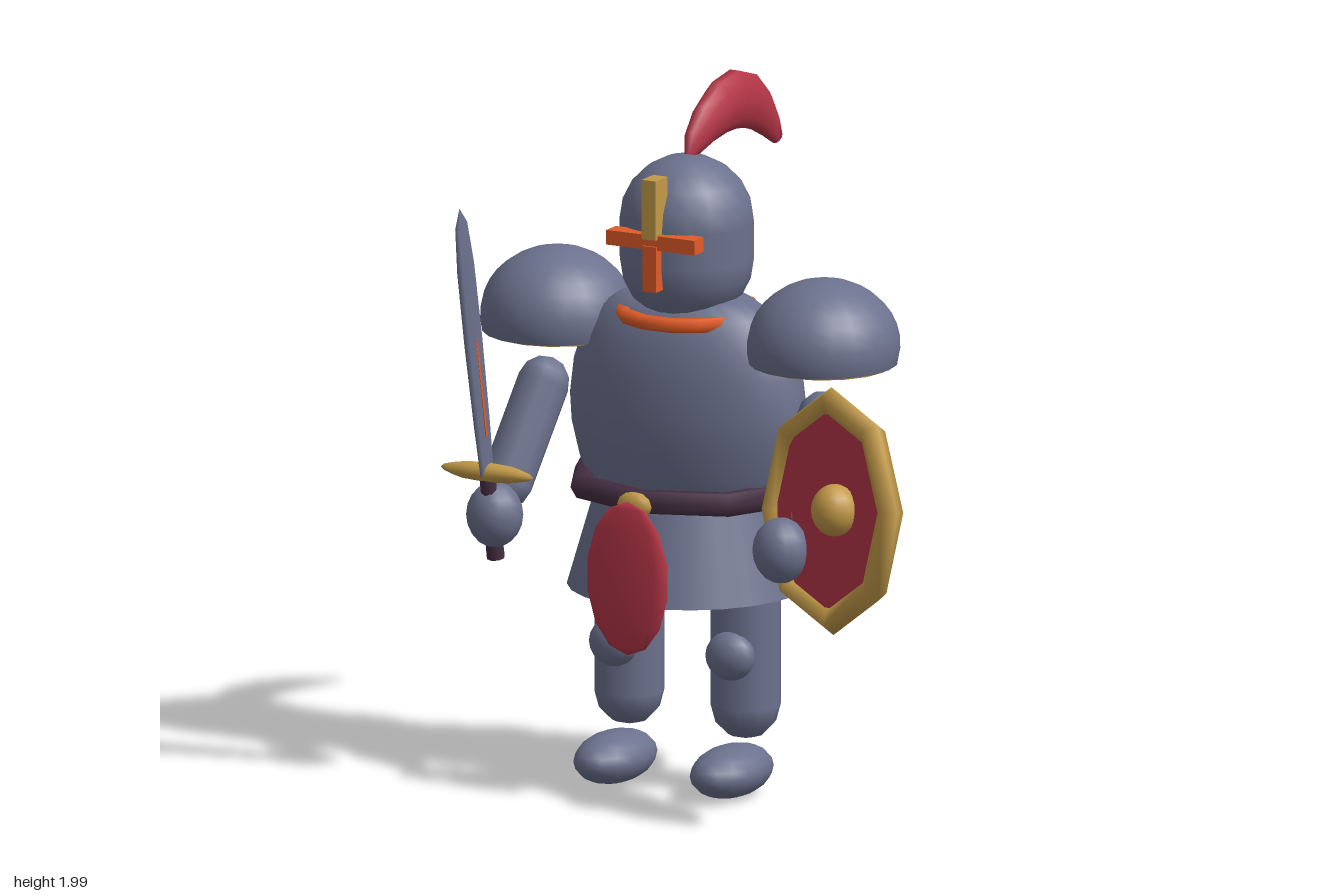
import * as THREE from 'three';

const mat = (name, color) => {
  const m = new THREE.MeshStandardMaterial({ color });
  m.name = name;
  return m;
};

export function createModel() {
  const steel = mat('steel', 0x6c728e);
  const steelOpen = mat('steel skirt', 0x6c728e);
  steelOpen.side = THREE.DoubleSide;
  const gold = mat('gold', 0xc39a48);
  const red = mat('red', 0xb63647);
  const orange = mat('orange', 0xe25c28);
  const leather = mat('dark leather', 0x462f44);

  const knight = new THREE.Group();
  knight.name = 'knight';
  const CX = -0.15; // body axis

  const add = (name, geo, material, x = 0, y = 0, z = 0, parent = knight) => {
    const m = new THREE.Mesh(geo, material);
    m.name = name;
    m.position.set(x, y, z);
    parent.add(m);
    return m;
  };
  const ellipsoid = (rx, ry, rz, w = 16, h = 12) =>
    new THREE.SphereGeometry(1, w, h).scale(rx, ry, rz);
  const lathe = (pts, seg) =>
    new THREE.LatheGeometry(pts.map(([r, y]) => new THREE.Vector2(r, y)), seg);
  const limb = (name, a, b, r) => {
    const p = new THREE.Vector3(...a), q = new THREE.Vector3(...b);
    const d = q.clone().sub(p);
    const m = add(name, new THREE.CapsuleGeometry(r, d.length(), 3, 10), steel);
    m.position.copy(p).add(q).multiplyScalar(0.5);
    m.quaternion.setFromUnitVectors(new THREE.Vector3(0, 1, 0), d.normalize());
    return m;
  };

  // Torso, skirt and belt
  const torso = lathe([[0, 0.72], [0.2, 0.76], [0.29, 0.83], [0.33, 0.92], [0.355, 1.02], [0.36, 1.1],
    [0.348, 1.2], [0.318, 1.29], [0.262, 1.365], [0.19, 1.41], [0, 1.43]], 24);
  add('torso', torso.scale(1, 1, 0.57), steel, CX);
  add('skirt', new THREE.CylinderGeometry(0.25, 0.34, 0.31, 24, 1, true), steelOpen, CX, 0.735, 0);
  const belt = new THREE.TorusGeometry(0.325, 0.036, 6, 8).rotateX(Math.PI / 2).scale(1, 1, 0.86);
  add('belt', belt, leather, CX, 0.87, 0);
  add('buckle', ellipsoid(0.055, 0.04, 0.025, 10, 6), gold, CX, 0.865, 0.315);
  add('tabard', ellipsoid(0.13, 0.22, 0.02, 8, 7), red, CX, 0.665, 0.355);

  // Helmet with collar and cross-shaped visor
  add('helmet', new THREE.CapsuleGeometry(0.19, 0.1, 5, 18), steel, CX, 1.57, 0.01);
  add('collar', new THREE.TorusGeometry(0.188, 0.022, 6, 14).rotateX(Math.PI / 2), orange, CX, 1.36, 0);
  add('visorSlit', new THREE.BoxGeometry(0.28, 0.042, 0.055), orange, CX, 1.6, 0.195);
  add('visorUpperBar', new THREE.BoxGeometry(0.045, 0.17, 0.068), gold, CX, 1.695, 0.198);
  add('visorLowerBar', new THREE.BoxGeometry(0.043, 0.13, 0.065), orange, CX, 1.525, 0.197);

  // Plume: oval cross-sections [z, y, half width, half thickness] along an arc
  const arc = [[0.0, 1.795, 0.012, 0.012], [-0.035, 1.835, 0.028, 0.044], [-0.1, 1.875, 0.04, 0.063],
    [-0.18, 1.905, 0.046, 0.08], [-0.26, 1.912, 0.047, 0.086], [-0.345, 1.89, 0.043, 0.08],
    [-0.42, 1.845, 0.035, 0.062], [-0.475, 1.795, 0.025, 0.042], [-0.515, 1.75, 0.015, 0.022]];
  const N = 10, pos = [], idx = [];
  arc.forEach(([z, y, w, h], i) => {
    const a = arc[Math.max(i - 1, 0)], b = arc[Math.min(i + 1, arc.length - 1)];
    const t = new THREE.Vector2(b[0] - a[0], b[1] - a[1]).normalize();
    for (let j = 0; j < N; j++) {
      const f = (j / N) * Math.PI * 2, s = Math.sin(f) * h;
      pos.push(Math.cos(f) * w, y - t.x * s, z + t.y * s);
      if (i) {
        const k = (j + 1) % N, p = (i - 1) * N, q = i * N;
        idx.push(p + j, p + k, q + j, p + k, q + k, q + j);
      }
    }
  });
  for (let j = 1; j < N - 1; j++) {
    const e = (arc.length - 1) * N;
    idx.push(0, j + 1, j, e, e + j, e + j + 1);
  }
  const plume = new THREE.BufferGeometry();
  plume.setAttribute('position', new THREE.Float32BufferAttribute(pos, 3));
  plume.setIndex(idx);
  plume.computeVertexNormals();
  add('plume', plume, red, CX).material.side = THREE.DoubleSide;

  // Paired parts
  for (const [side, s] of [['right', -1], ['left', 1]]) {
    const x = (d) => CX + s * d;
    const dome = new THREE.SphereGeometry(1, 20, 10, 0, Math.PI * 2, 0, Math.PI * 0.58);
    add(side + 'Pauldron', dome.scale(0.214, 0.19, 0.222), steel, x(0.424), 1.305, -0.01);
    add(side + 'PauldronLining', new THREE.CylinderGeometry(0.2, 0.192, 0.026, 16), gold, x(0.424), 1.263, -0.01);
    limb(side + 'Arm', [x(0.445), 1.11, 0.03], [x(0.485), 0.85, 0.17], 0.075);
    add(side + 'Hand', ellipsoid(0.08, 0.093, 0.08, 14, 10), steel, x(0.455), 0.785, 0.295);
    limb(side + 'Leg', [x(0.185), 0.255, 0.005], [x(0.185), 0.72, 0.005], 0.099);
    add(side + 'Knee', ellipsoid(0.074, 0.07, 0.055, 14, 10), steel, x(0.185), 0.41, 0.095);
    add(side + 'Foot', ellipsoid(0.098, 0.073, 0.167, 16, 10), steel, x(0.185), 0.08, 0.087);
  }

  // Sword, leaning forward
  const sword = new THREE.Group();
  sword.name = 'sword';
  sword.position.set(-0.605, 0.915, 0.34);
  sword.rotation.x = 0.2;
  knight.add(sword);
  const blade = lathe([[0.038, 0], [0.045, 0.15], [0.051, 0.4], [0.049, 0.62], [0.035, 0.75], [0, 0.805]], 8);
  add('blade', blade.scale(0.25, 1, 1), steel, 0, 0, 0, sword);
  add('fuller', new THREE.BoxGeometry(0.025, 0.3, 0.01), orange, 0, 0.26, 0, sword);
  add('guard', ellipsoid(0.147, 0.027, 0.03, 8, 8), gold, 0, 0, 0, sword);
  add('grip', new THREE.CylinderGeometry(0.023, 0.026, 0.26, 8), leather, 0, -0.13, 0, sword);

  // Round shield, turned and tipped back
  const shield = new THREE.Group();
  shield.name = 'shield';
  shield.position.set(0.477, 0.92, 0.31);
  shield.rotation.set(-0.1, -0.53, 0, 'YXZ');
  knight.add(shield);
  add('shieldFace', new THREE.CylinderGeometry(0.272, 0.272, 0.03, 24).rotateX(Math.PI / 2), red, 0, 0, 0, shield);
  add('shieldRim', new THREE.TorusGeometry(0.308, 0.038, 5, 8).rotateZ(0.18), gold, 0, 0, 0, shield);
  add('shieldBoss', ellipsoid(0.066, 0.074, 0.066, 14, 10), gold, 0.527, 0.945, 0.39);

  return knight;
}
